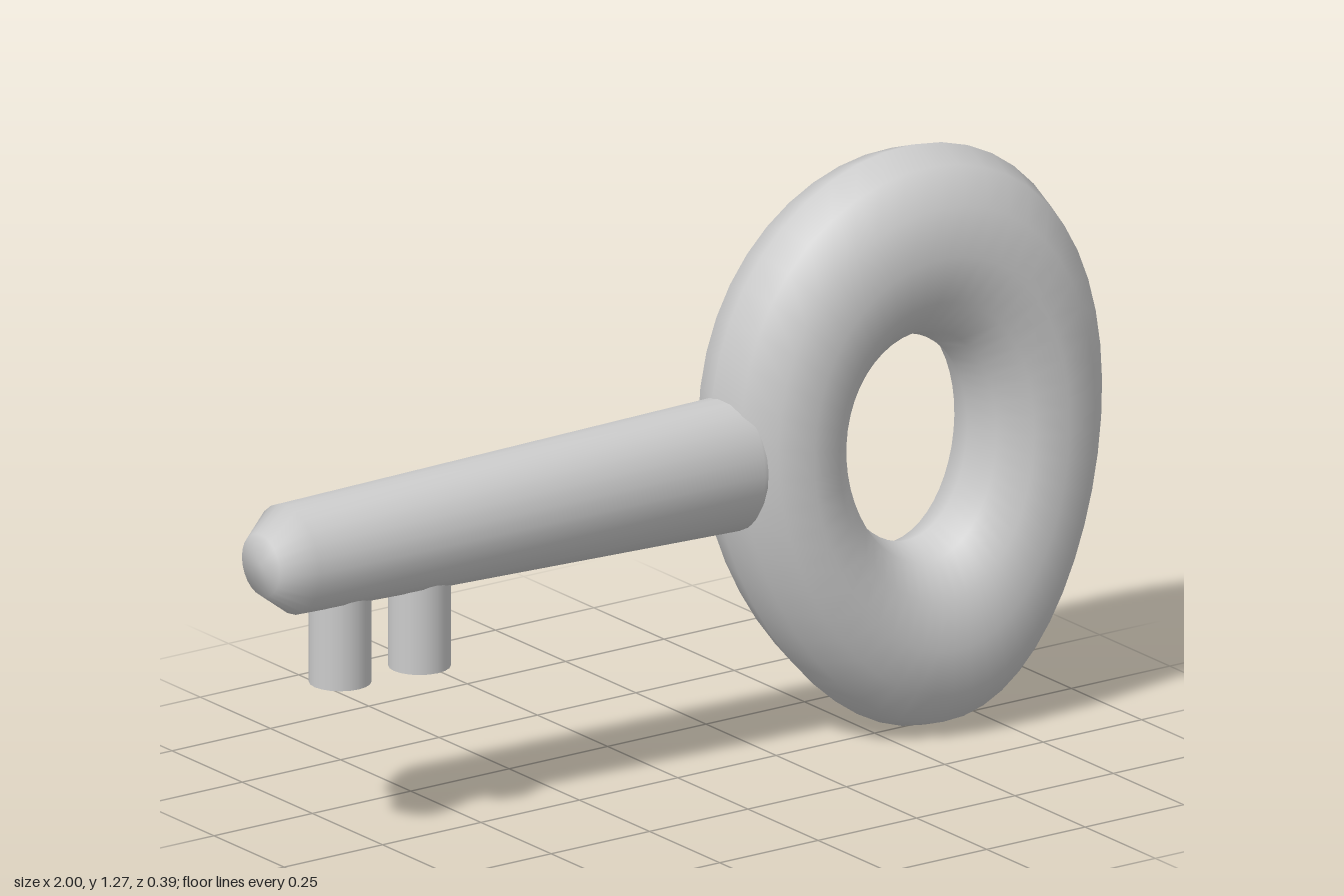
import * as THREE from 'three';
import { mergeVertices } from 'three/addons/utils/BufferGeometryUtils.js';

const material = new THREE.MeshStandardMaterial({ color: 0xcccccc });

// Moves every vertex by a rule, then welds the seams and smooths the normals
function deform(geometry, rule) {
  geometry.deleteAttribute('uv');
  geometry.deleteAttribute('normal');
  const pos = geometry.attributes.position;
  const v = new THREE.Vector3();
  for (let i = 0; i < pos.count; i++) {
    rule(v.fromBufferAttribute(pos, i));
    pos.setXYZ(i, v.x, v.y, v.z);
  }
  const welded = mergeVertices(geometry, 1e-4);
  welded.computeVertexNormals();
  return welded;
}

function part(name, geometry) {
  const mesh = new THREE.Mesh(geometry, material);
  mesh.name = name;
  return mesh;
}

export function createModel() {
  const group = new THREE.Group();
  group.name = 'key';

  // Bow: a tall torus, slightly skewed and turned away from the front plane
  const bow = deform(new THREE.TorusGeometry(1, 0.475, 12, 48), (v) => {
    const { x, y } = v;
    v.x = 0.56 + 0.298 * x + 0.02 * y * y - 0.008 * y + 0.025 * x * y;
    v.y = 0.636 + 0.4305 * y;
    v.z = (v.z * 0.15) / 0.475 + 0.008 + 0.12 * (v.x - 0.56);
  });
  group.add(part('bow', bow));

  // Shaft: round bar with a chamfered tip, growing taller towards the bow
  const profile = [[0, -1], [0.58, -1], [1, -0.935], [1, 0.16], [0.58, 0.23], [0, 0.23]]
    .map(([r, h]) => new THREE.Vector2(r, h));
  const bar = new THREE.LatheGeometry(profile, 24).rotateZ(-Math.PI / 2);
  const shaft = deform(bar, (v) => {
    const t = v.x + 0.935;
    v.y = 0.638 + 0.011 * t + v.y * (0.117 + 0.026 * t);
    v.z = -0.08 + 0.047 * t + v.z * 0.116;
  });
  group.add(part('shaft', shaft));

  // Two pegs under the tip
  for (const x of [-0.805, -0.61]) {
    const tooth = part('tooth', new THREE.CylinderGeometry(0.065, 0.065, 0.24, 20));
    tooth.position.set(x, 0.468, -0.08 + 0.047 * (x + 0.935));
    group.add(tooth);
  }
  return group;
}
